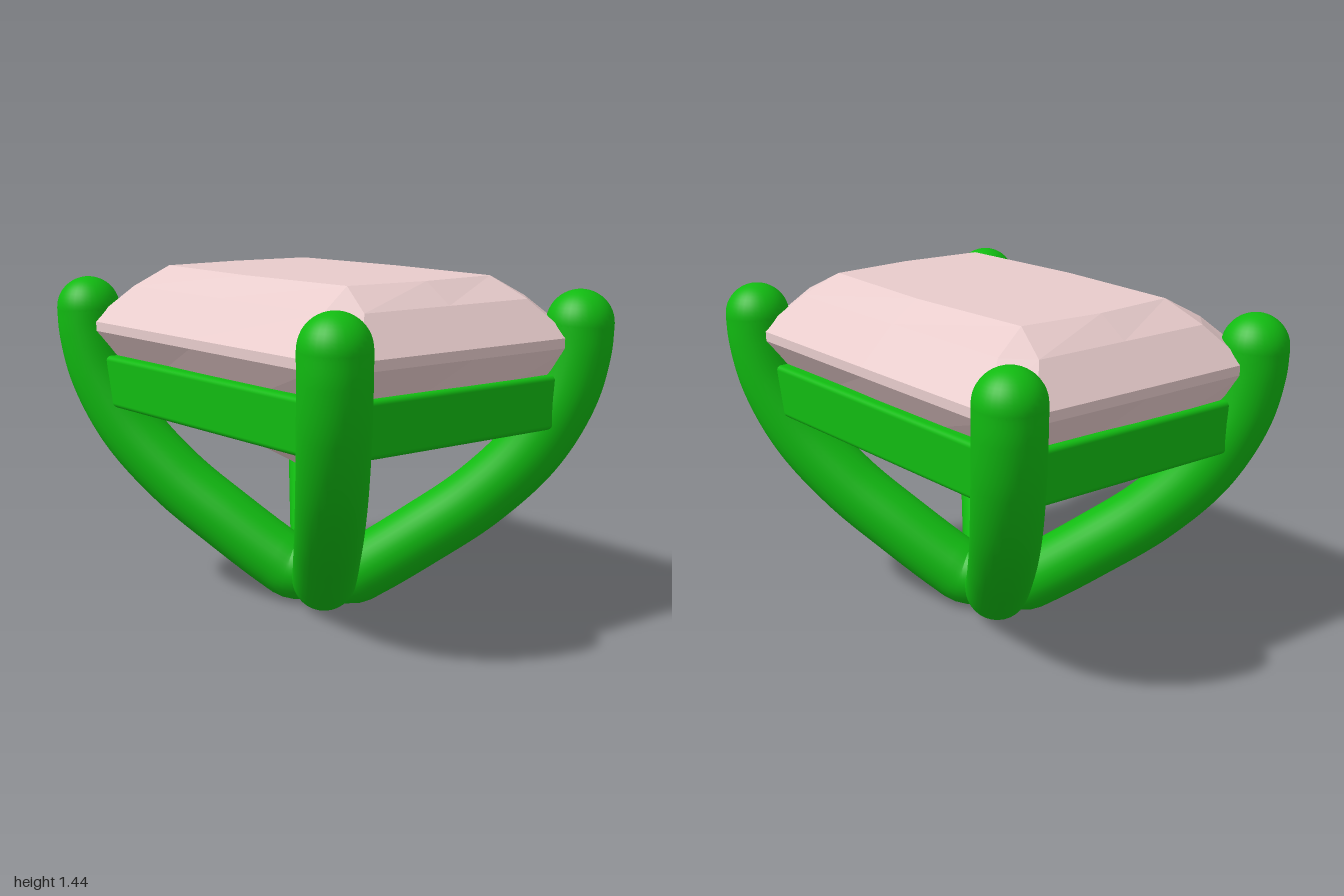
import * as THREE from 'three';
import { RoundedBoxGeometry } from 'three/addons/geometries/RoundedBoxGeometry.js';

const R = 0.137;            // prong radius
const PX = 0.63, PZ = 0.863; // prong tip position

// Twelve-point rectangle with cut corners; m pushes out the middle of each side.
function ring(y, x, z, cx, cz, m = 0) {
  const q = [
    [x + m, 0], [x, z - cz], [x - cx, z],
    [0, z + m], [cx - x, z], [-x, z - cz],
    [-x - m, 0], [-x, cz - z], [cx - x, -z],
    [0, -z - m], [x - cx, -z], [x, cz - z],
  ];
  return q.map(([a, b]) => [a, y, b]);
}

// Faceted stone joined from rings, bottom to top
function stoneGeometry() {
  const rings = [
    ring(0.56, 0, 0, 0, 0),
    ring(0.92, 0.48, 0.76, 0.10, 0.10, 0.015),
    ring(1.17, 0.67, 0.905, 0.13, 0.13),
    ring(1.21, 0.67, 0.905, 0.13, 0.13),
    ring(1.36, 0.52, 0.77, 0.10, 0.11),
    ring(1.445, 0.37, 0.61, 0, 0, 0.03),
    ring(1.445, 0, 0, 0, 0),
  ];
  const pos = [];
  for (let k = 0; k < rings.length - 1; k++) {
    for (let i = 0; i < 12; i++) {
      const j = (i + 1) % 12;
      const a = rings[k][i], b = rings[k][j], c = rings[k + 1][j], d = rings[k + 1][i];
      pos.push(...a, ...d, ...b, ...b, ...d, ...c);
    }
  }
  const g = new THREE.BufferGeometry();
  g.setAttribute('position', new THREE.Float32BufferAttribute(pos, 3));
  g.computeVertexNormals();
  return g;
}

export function createModel() {
  const group = new THREE.Group();
  const metal = new THREE.MeshStandardMaterial({ color: 0x11bb11 });
  const gem = new THREE.MeshStandardMaterial({ color: 0xe8cccc, flatShading: true });

  const add = (name, geometry, material, x = 0, y = 0, z = 0) => {
    const mesh = new THREE.Mesh(geometry, material);
    mesh.name = name;
    mesh.position.set(x, y, z);
    group.add(mesh);
  };

  add('stone', stoneGeometry(), gem);

  // Prong path: fraction of the way out along the diagonal, and height
  const path = [
    [-0.03, 0.165], [0.05, 0.155], [0.12, 0.145], [0.19, 0.185], [0.4, 0.337], [0.63, 0.52],
    [0.83, 0.74], [0.95, 0.97], [0.993, 1.15], [1, 1.257],
  ];
  for (const sx of [-1, 1]) {
    for (const sz of [-1, 1]) {
      const name = (sz > 0 ? 'front' : 'back') + (sx > 0 ? 'Left' : 'Right') + 'Prong';
      const curve = new THREE.CatmullRomCurve3(
        path.map(([s, y]) => new THREE.Vector3(s * PX * sx, y, s * PZ * sz)));
      add(name, new THREE.TubeGeometry(curve, 80, R, 32), metal);
      add(name + 'Tip', new THREE.SphereGeometry(R, 32, 24), metal, PX * sx, 1.257, PZ * sz);
    }
  }

  // Gallery rails joining the prongs under the stone
  for (const s of [-1, 1]) {
    add(s > 0 ? 'frontRail' : 'backRail',
      new RoundedBoxGeometry(1.14, 0.22, 0.16, 4, 0.02), metal, 0, 0.95, 0.795 * s);
    add(s > 0 ? 'leftRail' : 'rightRail',
      new RoundedBoxGeometry(0.16, 0.22, 1.6, 4, 0.02), metal, 0.56 * s, 0.95, 0);
  }

  return group;
}
